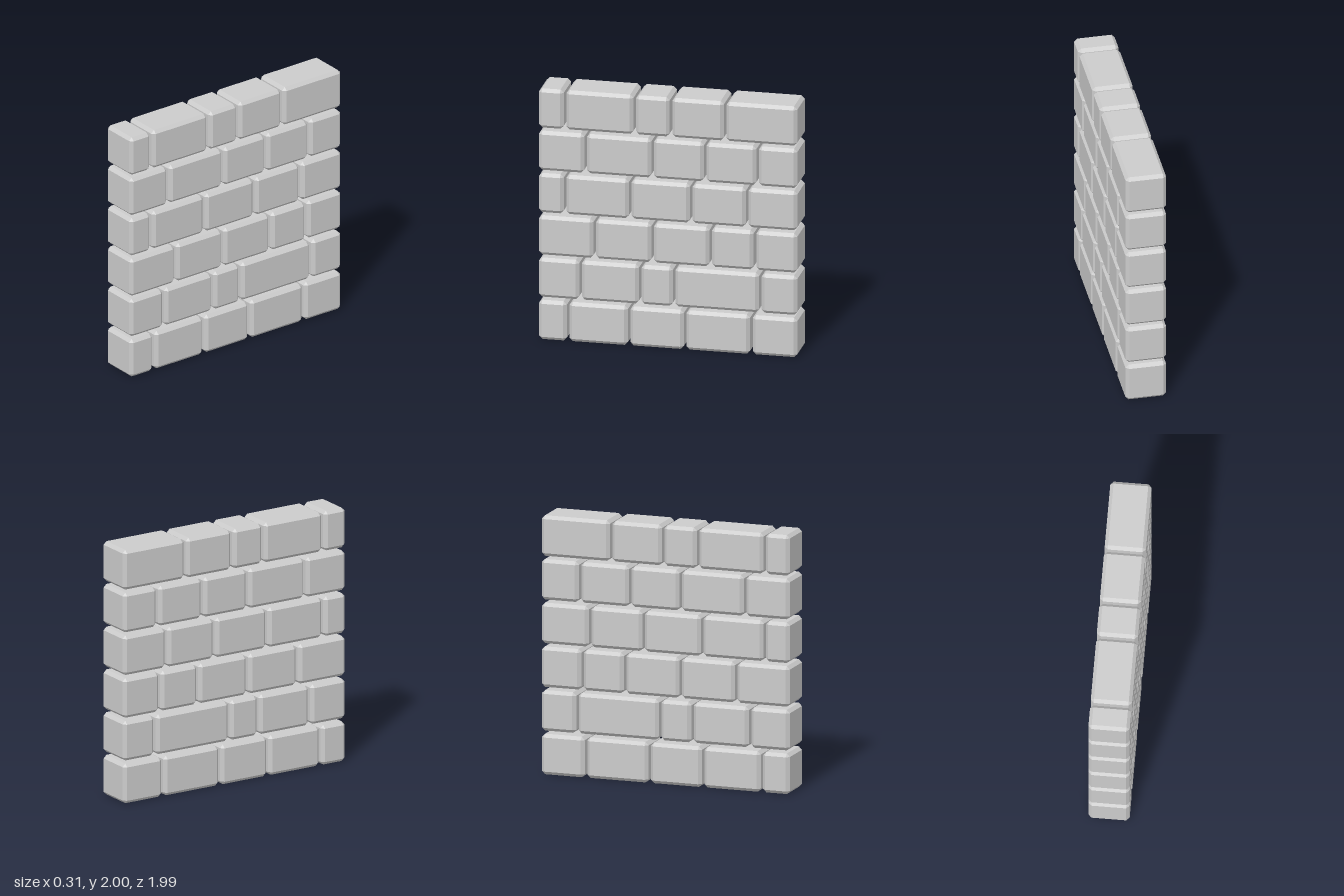
import * as THREE from 'three';
import { ConvexGeometry } from 'three/addons/geometries/ConvexGeometry.js';

const THICK = 0.312;      // brick size across the wall
const HEIGHT = 0.313;     // brick height
const PITCH = (2 - HEIGHT) / 5; // spacing of the courses
const END = 0.995;        // wall ends at +z and -z
const GAP = 0.02;         // open joint between bricks
const BEVEL = 0.025;

// z of the joint centres in each course, bottom to top, front to back
const COURSES = [
  [0.771, 0.3, -0.13, -0.641],
  [0.676, 0.215, -0.045, -0.71],
  [0.566, 0.12, -0.327, -0.668],
  [0.795, 0.293, -0.178, -0.609],
  [0.636, 0.12, -0.285, -0.689],
  [0.795, 0.258, -0.021, -0.439],
];

// Box with every edge and corner cut flat
function bevelledBox(w, h, d, b) {
  const points = [];
  for (const sx of [-1, 1]) for (const sy of [-1, 1]) for (const sz of [-1, 1]) {
    const x = w / 2, y = h / 2, z = d / 2;
    points.push(
      new THREE.Vector3(sx * x, sy * (y - b), sz * (z - b)),
      new THREE.Vector3(sx * (x - b), sy * y, sz * (z - b)),
      new THREE.Vector3(sx * (x - b), sy * (y - b), sz * z),
    );
  }
  return new ConvexGeometry(points);
}

export function createModel() {
  const wall = new THREE.Group();
  wall.name = 'brickWall';
  const stone = new THREE.MeshStandardMaterial({ color: 0xcccccc, flatShading: true });

  COURSES.forEach((joints, row) => {
    const course = new THREE.Group();
    course.name = `course${row + 1}`;
    course.position.y = HEIGHT / 2 + row * PITCH;

    // Bricks fill the spaces between neighbouring joints
    const stops = [END + GAP / 2, ...joints, -END - GAP / 2];
    for (let i = 0; i < stops.length - 1; i++) {
      const length = stops[i] - stops[i + 1] - GAP;
      const brick = new THREE.Mesh(bevelledBox(THICK, HEIGHT, length, BEVEL), stone);
      brick.name = `brick${i + 1}`;
      brick.position.z = (stops[i] + stops[i + 1]) / 2;
      course.add(brick);
    }
    wall.add(course);
  });
  return wall;
}
